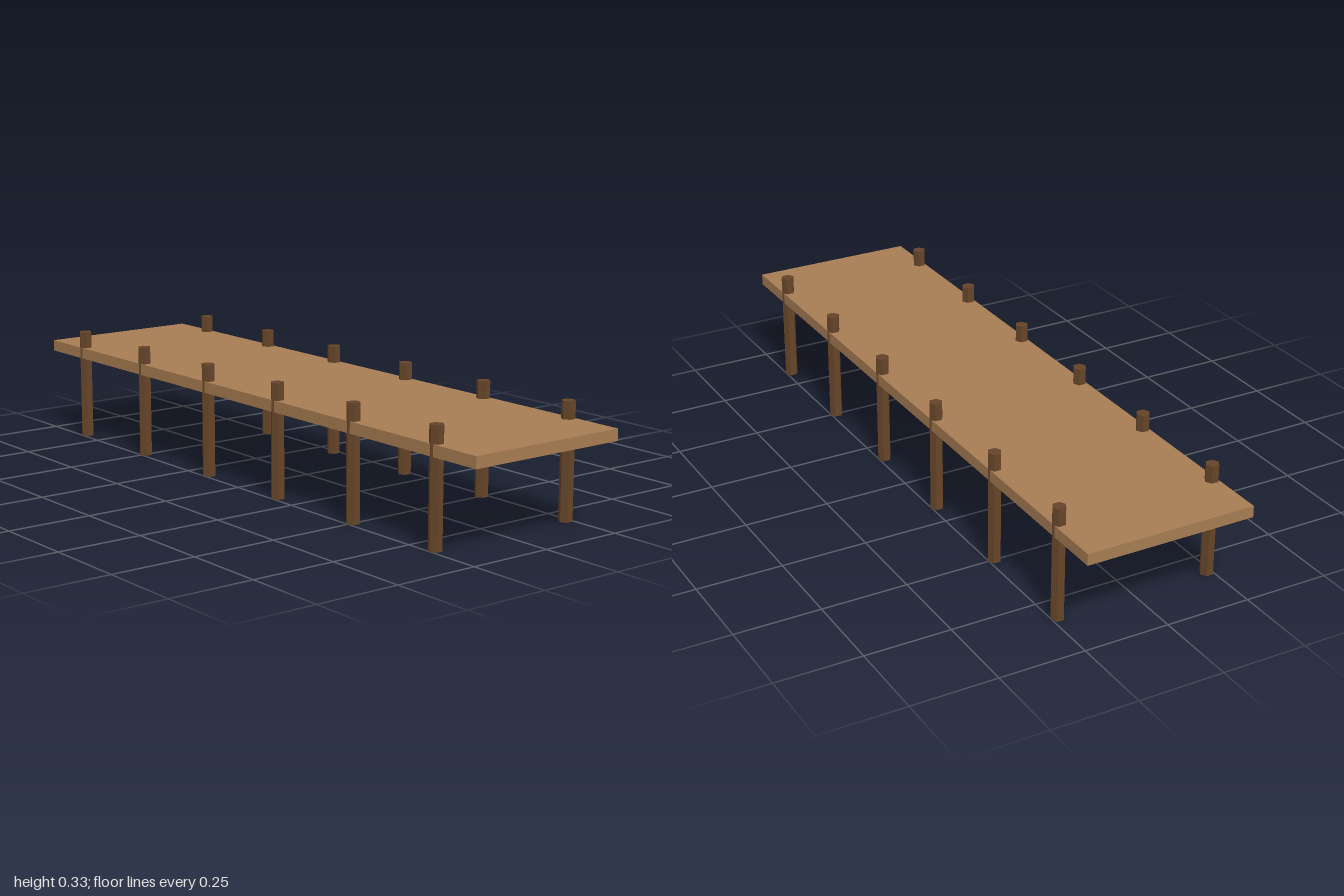
import * as THREE from 'three';

export function createModel() {
  const group = new THREE.Group();
  const deckWood = new THREE.MeshStandardMaterial({ color: 0xa67c52 });
  deckWood.name = 'deckWood';
  const postWood = new THREE.MeshStandardMaterial({ color: 0x654428, flatShading: true });
  postWood.name = 'postWood';

  // Flat walkway slab
  const deckHeight = 1 / 30;
  const deck = new THREE.Mesh(new THREE.BoxGeometry(0.5, deckHeight, 2), deckWood);
  deck.name = 'deck';
  deck.position.y = 0.25 + deckHeight / 2;
  group.add(deck);

  // Six pairs of hexagonal posts, with a corner pointing outward
  const postHeight = 1 / 3;
  const postGeometry = new THREE.CylinderGeometry(0.02, 0.02, postHeight, 6, 1, false, Math.PI / 6);
  for (let i = 0; i < 6; i++) {
    for (const side of [-1, 1]) {
      const post = new THREE.Mesh(postGeometry, postWood);
      post.name = (side > 0 ? 'leftPost' : 'rightPost') + (i + 1);
      post.position.set(side * 0.2333, postHeight / 2, (i - 2.5) / 3);
      group.add(post);
    }
  }
  return group;
}
